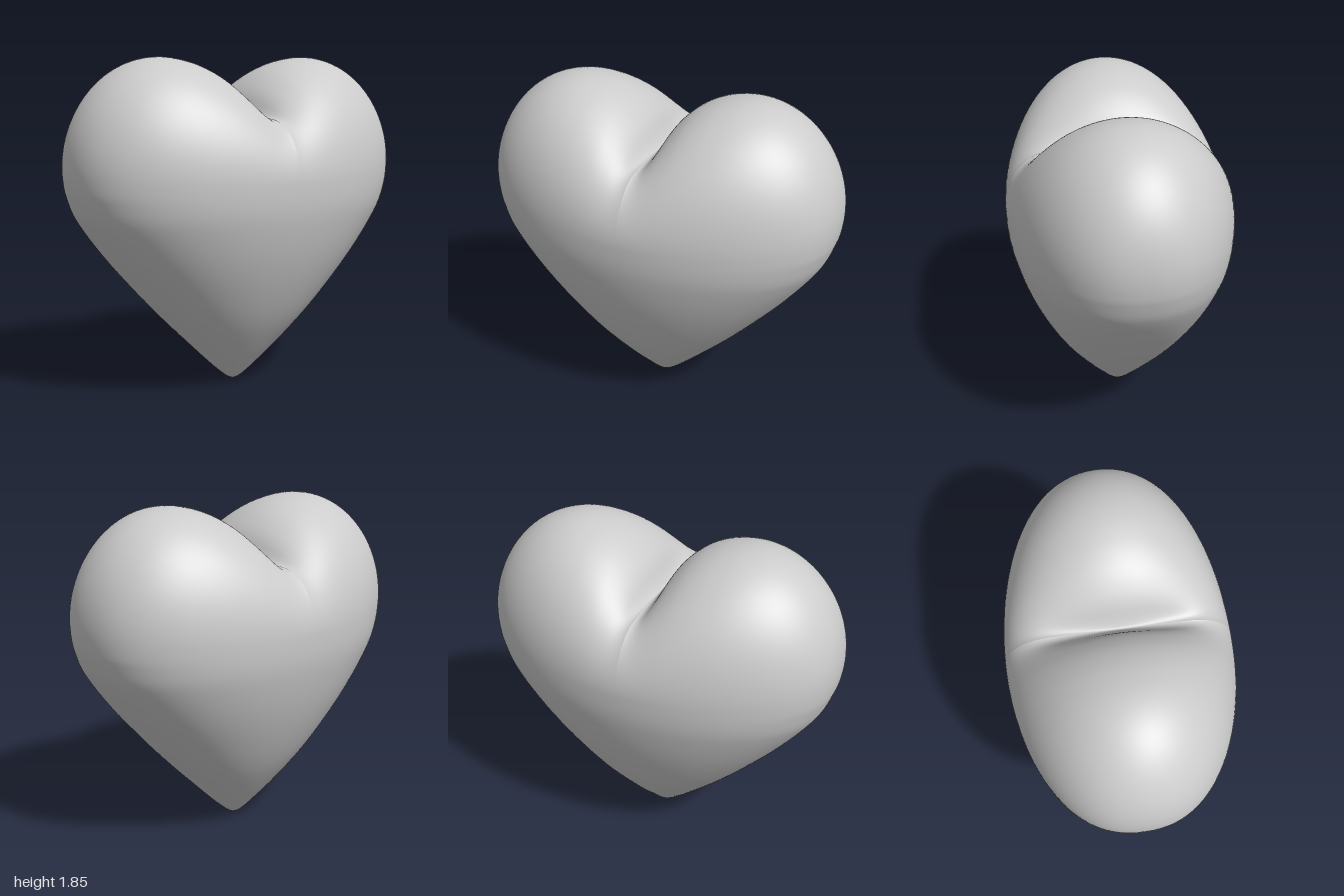
import * as THREE from 'three';

// Smooth interpolation through [position, value] points
function curve(points) {
  const slope = (i) => {
    const a = points[Math.max(i - 1, 0)], b = points[Math.min(i + 1, points.length - 1)];
    return (b[1] - a[1]) / (b[0] - a[0]);
  };
  return (v) => {
    let i = 0;
    while (i < points.length - 2 && v > points[i + 1][0]) i++;
    const [p, a] = points[i], [q, b] = points[i + 1];
    const h = q - p, t = (v - p) / h, t2 = t * t, t3 = t2 * t;
    return a * (2 * t3 - 3 * t2 + 1) + b * (3 * t2 - 2 * t3)
      + h * (slope(i) * (t3 - 2 * t2 + t) + slope(i + 1) * (t3 - t2));
  };
}

// Half width and half depth of the lower body by height
const halfWidth = curve([[0, 0], [0.015, 0.035], [0.05, 0.08], [0.1, 0.135], [0.2, 0.237], [0.4, 0.435],
  [0.6, 0.62], [0.8, 0.79], [1, 0.932], [1.13, 0.983], [1.2, 0.996], [1.27, 1], [1.34, 0.996]]);
const halfDepth = curve([[0, 0], [0.015, 0.03], [0.05, 0.068], [0.1, 0.113], [0.2, 0.2], [0.4, 0.348],
  [0.6, 0.458], [0.8, 0.542], [1, 0.6], [1.1, 0.616], [1.2, 0.62], [1.34, 0.62]]);

// Top outline from the cleft to the crown of a lobe, then a quarter ellipse
const cleft = curve([[0, 1.52], [0.03, 1.57], [0.07, 1.65], [0.12, 1.711], [0.2, 1.775], [0.3, 1.823],
  [0.4, 1.848], [0.48, 1.855], [0.56, 1.848]]);
const topAt = (x) => x < 0.48 ? cleft(x)
  : 1.27 + 0.585 * Math.sqrt(Math.max(0, 1 - ((x - 0.48) / 0.52) ** 2));

// Bottom outline: the height where the body is x wide
function bottomAt(x) {
  let lo = 0, hi = 1.27;
  for (let k = 0; k < 40; k++) {
    const mid = (lo + hi) / 2;
    if (halfWidth(mid) < x) lo = mid; else hi = mid;
  }
  return lo;
}

// Slightly squared ellipse as the horizontal section
function bodyDepth(x, y) {
  const w = halfWidth(y);
  return w < 1e-6 ? 0 : halfDepth(y) * Math.max(0, 1 - (x / w) ** 2) ** 0.44;
}

function heartGeometry(columns = 180, ring = 112) {
  const positions = [], index = [];
  for (let i = 0; i <= columns; i++) {
    const t = (2 * i) / columns - 1;
    const x = 0.5 - 0.5 * Math.cos(Math.PI * Math.abs(t));
    const middle = 1.2 + 0.07 * x * x, bottom = bottomAt(x), depth = bodyDepth(x, middle);
    for (let j = 0; j < ring; j++) {
      const angle = (2 * Math.PI * j) / ring, s = Math.sin(angle), c = Math.cos(angle);
      let y, z;
      if (s >= 0) {
        // The cleft softens towards the front and back
        const r = 0.01 + 0.24 * c * c;
        const soft = x + (Math.hypot(x, r) - 0.5 * r - x) * (1 - x) ** 4;
        y = middle + (topAt(soft) - middle) * s;
        z = depth * c;
      } else {
        y = middle + (middle - bottom) * s;
        z = Math.abs(c) < 1e-9 ? 0 : Math.sign(c) * bodyDepth(x, y);
      }
      positions.push(Math.sign(t) * x, y, z);
      if (i < columns) {
        const a = i * ring + j, b = a + ring;
        const d = i * ring + (j + 1) % ring, e = d + ring;
        index.push(a, b, d, b, e, d);
      }
    }
  }
  const geometry = new THREE.BufferGeometry();
  geometry.setAttribute('position', new THREE.Float32BufferAttribute(positions, 3));
  geometry.setIndex(index);
  geometry.computeVertexNormals();
  return geometry;
}

export function createModel() {
  const group = new THREE.Group();
  group.name = 'heart';
  const body = new THREE.Mesh(heartGeometry(), new THREE.MeshStandardMaterial({ color: 0xcccccc }));
  body.name = 'heartBody';
  group.add(body);
  return group;
}
